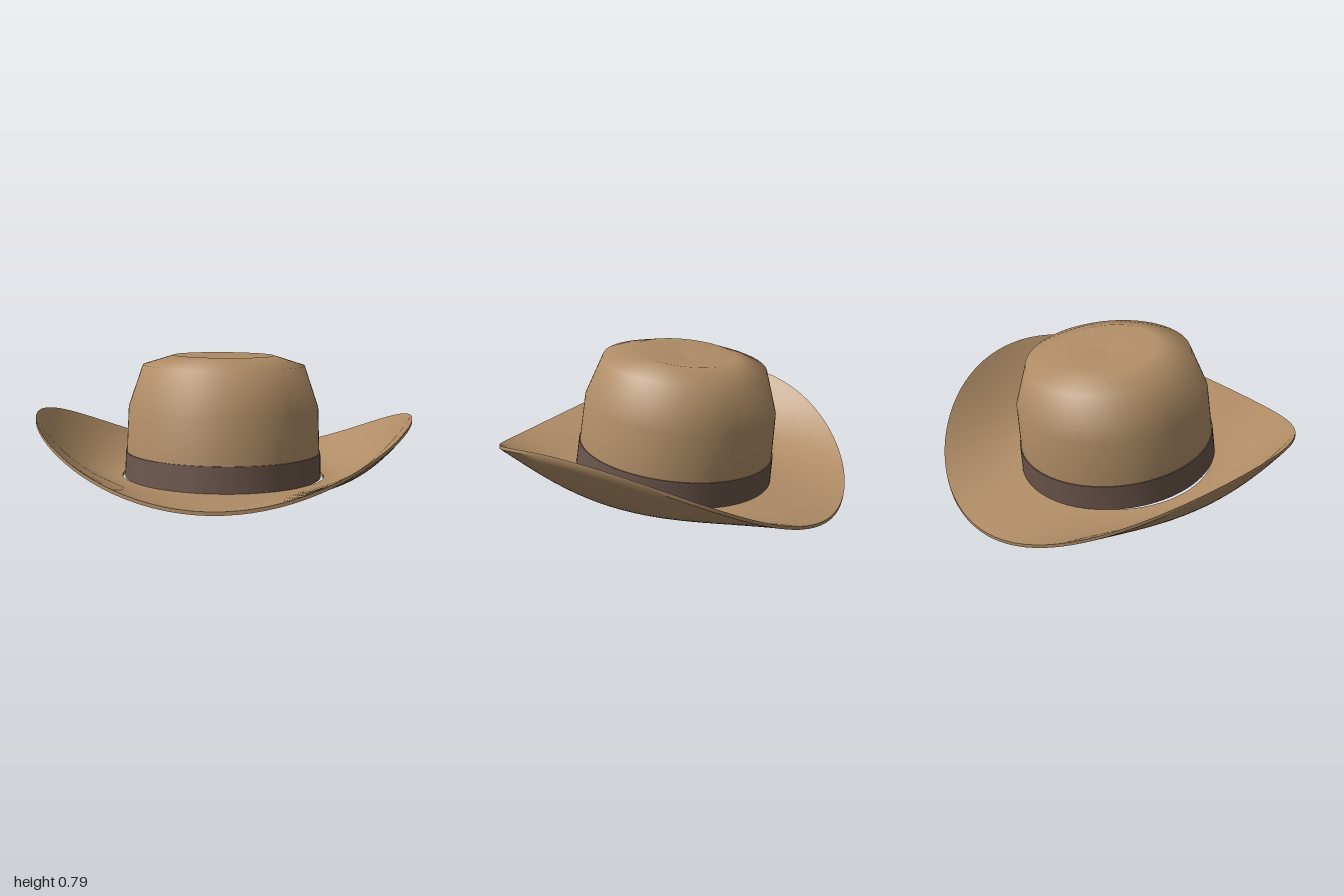
import * as THREE from 'three';
import { toCreasedNormals } from 'three/addons/utils/BufferGeometryUtils.js';

const SEGMENTS = 96;
const HOLE = 0.545;       // brim opening radius
const DEPTH = 0.915;      // brim oval: depth relative to width
const THICKNESS = 0.018;

const felt = new THREE.MeshStandardMaterial({ color: 0xb08d66, side: THREE.DoubleSide });
const ribbon = new THREE.MeshStandardMaterial({ color: 0x6b554b, side: THREE.DoubleSide });

const lathe = (points) =>
  new THREE.LatheGeometry(points.map(([r, y]) => new THREE.Vector2(r, y)), SEGMENTS);

function part(name, geometry, material) {
  const mesh = new THREE.Mesh(geometry, material);
  mesh.name = name;
  return mesh;
}

// Oval ring with thickness, its sides curled upward
function brimGeometry() {
  const steps = 16;
  const bottom = [], top = [];
  for (let i = 0; i <= steps; i++) {
    const r = HOLE + (1 - HOLE) * i / steps;
    bottom.push([r, 0]);
    top.unshift([r, THICKNESS]);
  }
  const geometry = lathe([...bottom, ...top, bottom[0]]);
  const pos = geometry.attributes.position;
  for (let i = 0; i < pos.count; i++) {
    const x = pos.getX(i), z = pos.getZ(i);
    const r = Math.hypot(x, z);
    const s = Math.max(0, (r - HOLE) / (1 - HOLE));
    pos.setY(i, pos.getY(i) + 0.34 * (x / r) ** 2 * s ** 2);
    pos.setZ(i, z * DEPTH);
  }
  return toCreasedNormals(geometry, 0.7);
}

export function createModel() {
  const hat = new THREE.Group();
  hat.name = 'hat';

  // Everything leans back together
  const body = new THREE.Group();
  body.name = 'hatBody';
  body.rotation.x = -0.1118;

  const brim = part('brim', brimGeometry(), felt);
  brim.position.set(0, 0.1025, 0.0135);

  // Tapered crown, open below, with a shallow dent on top
  const crown = part('crown', lathe([
    [0.523, 0.12], [0.519, 0.25], [0.508, 0.496], [0.432, 0.717], [0.267, 0.768], [0, 0.735],
  ]), felt);
  crown.position.z = 0.018;

  // Ribbon around the foot of the crown
  const band = part('hatBand', lathe([
    [0.524, 0.12], [0.529, 0.12], [0.524, 0.255], [0.518, 0.255],
  ]), ribbon);
  band.geometry = toCreasedNormals(band.geometry, 0.7);
  band.position.z = 0.018;

  body.add(brim, crown, band);
  hat.add(body);
  return hat;
}
